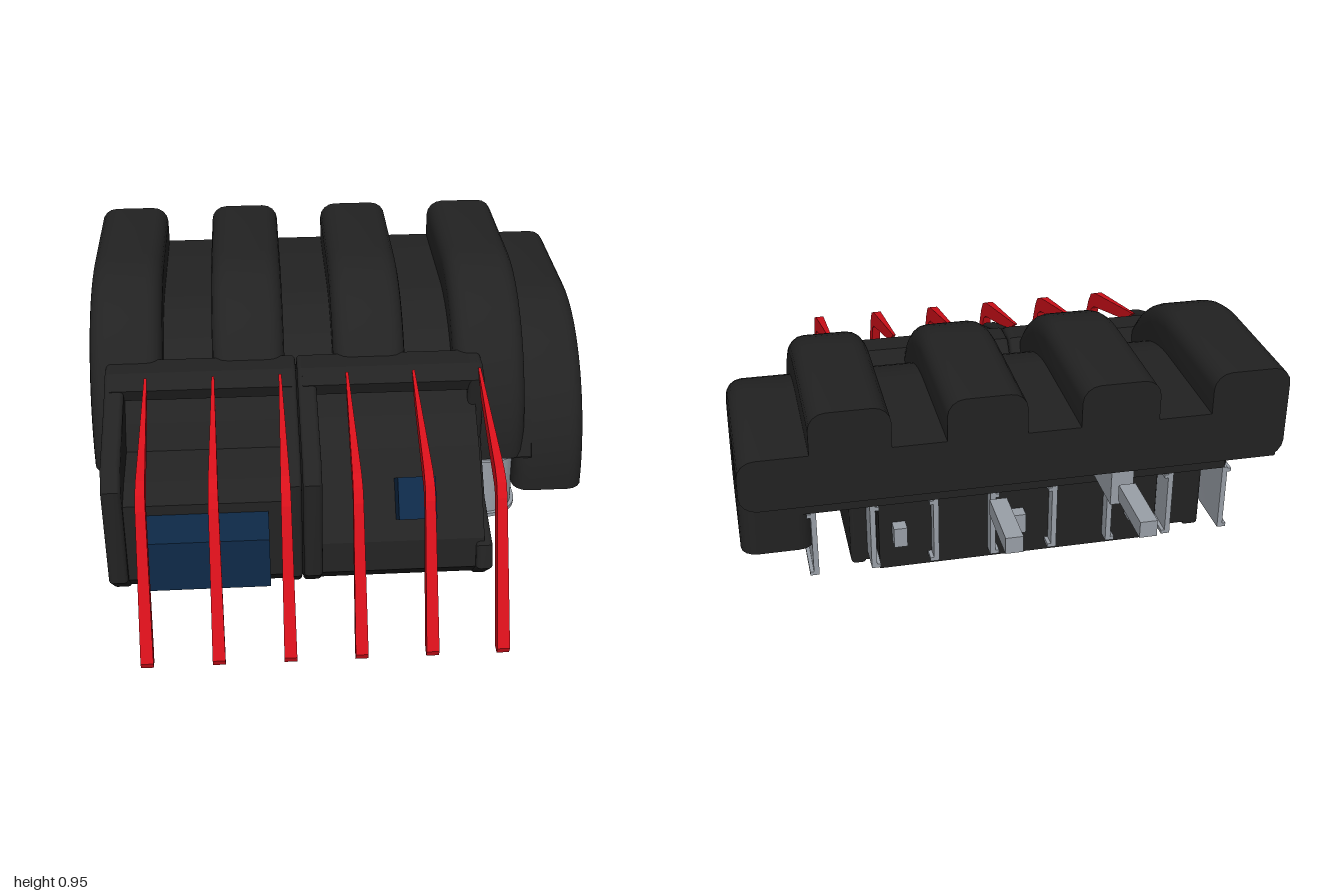
import * as THREE from 'three';
import { toCreasedNormals } from 'three/addons/utils/BufferGeometryUtils.js';

const mat = (color) => new THREE.MeshStandardMaterial({ color, side: THREE.DoubleSide });

export function createModel() {
  const model = new THREE.Group();
  const black = mat(0x222222), red = mat(0xd8101a), blue = mat(0x0e2a48), grey = mat(0x9aa0a8);

  function add(name, geometry, material, parent = model) {
    const mesh = new THREE.Mesh(geometry, material);
    mesh.name = name;
    parent.add(mesh);
    return mesh;
  }
  function box(name, x0, x1, y0, y1, z0, z1, material) {
    const m = add(name, new THREE.BoxGeometry(x1 - x0, y1 - y0, z1 - z0), material);
    m.position.set((x0 + x1) / 2, (y0 + y1) / 2, (z0 + z1) / 2);
    return m;
  }
  // Side profile given as [z, y] points, extruded from x0 to x1 with rounded shoulders
  function sideExtrude(points, x0, x1, bevel = 0) {
    const shape = new THREE.Shape(points.map(([z, y]) => new THREE.Vector2(z, y)));
    const g = new THREE.ExtrudeGeometry(shape, {
      depth: x1 - x0 - 2 * bevel, bevelEnabled: bevel > 0, bevelSize: bevel,
      bevelThickness: bevel, bevelOffset: -bevel, bevelSegments: 4,
    });
    g.rotateY(-Math.PI / 2);
    g.translate(x1 - bevel, 0, 0);
    return g;
  }

  // Curved cover: straight duct at the back, quarter arc down to the front
  function coverSection(name, x0, x1, top, bottom, bevel) {
    const pts = [[-1.0, top]];
    for (let i = 0; i <= 18; i++) {
      const a = (i / 18) * Math.PI / 2;
      pts.push([-0.33 + 0.58 * Math.sin(a), top - 0.61 + 0.61 * Math.cos(a)]);
    }
    pts.push([0.25, bottom - 0.15], [-0.38, bottom - 0.15], [-0.38, 0.62], [-1.0, 0.62]);
    const g = sideExtrude(pts, x0, x1, bevel);
    // cut the back and bottom ends flat
    const p = g.attributes.position;
    for (let i = 0; i < p.count; i++) {
      p.setZ(i, Math.max(p.getZ(i), -0.79));
      p.setY(i, Math.max(p.getY(i), bottom));
    }
    add(name, toCreasedNormals(g, 0.6), black);
  }
  coverSection('coverValleys', -0.91, 0.72, 0.81, 0.33, 0);
  coverSection('coverSideColumn', 0.66, 0.93, 0.81, 0.18, 0.06);
  const ridgeCentres = [-0.8, -0.345, 0.108, 0.56];
  ridgeCentres.forEach((x) => coverSection('coverRidge', x - 0.135, x + 0.135, 0.96, 0.33, 0.06));

  // Front housing: two open bays with side cheeks
  const cheek = [[-0.26, 0.01], [0.53, 0.01], [0.64, 0.11], [0.64, 0.5], [0.58, 0.57],
    [0.3, 0.67], [0.2, 0.725], [0.1, 0.725], [-0.1, 0.5], [-0.26, 0.4]];
  const cutCheek = [[-0.26, 0.01], [0.53, 0.01], [0.64, 0.11], [0.62, 0.2], [0.4, 0.27],
    [0.25, 0.43], [0.27, 0.69], [0.2, 0.725], [0.1, 0.725], [-0.1, 0.5], [-0.26, 0.4]];
  const bayLeft = [[-0.26, 0.02], [0.53, 0.02], [0.61, 0.1], [0.61, 0.42], [0.5, 0.45],
    [0.33, 0.47], [0.28, 0.56], [0.2, 0.66], [0, 0.6], [-0.26, 0.4]];
  const bayRight = [[-0.26, 0.02], [0.53, 0.02], [0.61, 0.1], [0.6, 0.22], [0.5, 0.36],
    [0.38, 0.48], [0.28, 0.56], [0.2, 0.66], [0, 0.6], [-0.26, 0.4]];
  const creased = (...args) => toCreasedNormals(sideExtrude(...args), 0.5);
  [[-0.87, -0.8], [-0.235, -0.172], [-0.168, -0.1]].forEach(([a, b]) =>
    add('housingCheek', creased(cheek, a, b, 0.015), black));
  add('housingCutCheek', creased(cutCheek, 0.46, 0.52, 0.015), black);
  add('bayFloorRight', sideExtrude(bayLeft, -0.82, -0.2), black);
  add('bayFloorLeft', sideExtrude(bayRight, -0.14, 0.49), black);
  const hood = [[0.05, 0.62], [0.25, 0.64], [0.27, 0.69], [0.2, 0.725], [0.1, 0.725]];
  [[-0.85, -0.19], [-0.15, 0.5]].forEach(([a, b]) =>
    add('housingHood', sideExtrude(hood, a, b), black));

  // Blue inserts in the bays
  box('wideInsert', -0.72, -0.29, 0.18, 0.38, 0.55, 0.78, blue);
  const tilted = box('tiltedInsert', 0.17, 0.305, 0.295, 0.445, 0.465, 0.63, blue);
  tilted.rotation.x = -0.6;

  // Red bent fingers, widening toward their lower tips
  const finger = [[0.23, 0.72], [0.72, 0.6], [0.77, 0.575], [0.8, 0.53], [1.0, 0.04],
    [0.99, 0.015], [0.955, 0.015], [0.935, 0.04], [0.755, 0.51], [0.72, 0.535], [0.33, 0.65]];
  for (let i = 0; i < 6; i++) {
    const g = sideExtrude(finger, -1, 1);
    const p = g.attributes.position;
    for (let k = 0; k < p.count; k++) {
      p.setX(k, p.getX(k) * (0.005 + 0.022 * (p.getZ(k) - 0.23)));
    }
    g.computeVertexNormals();
    add('finger', g, red).position.x = -0.72 + i * 0.2445;
  }

  // U-shaped metal clips under each ridge, rounded at the front
  function clip(half, thickness, y0, y1) {
    const s = new THREE.Shape();
    const inner = half - thickness;
    s.moveTo(half, -0.38);
    s.lineTo(half, 0.115);
    s.absarc(0, 0.115, half, 0, Math.PI, false);
    s.lineTo(-half, -0.38);
    s.lineTo(-inner, -0.38);
    s.lineTo(-inner, 0.115);
    s.absarc(0, 0.115, inner, Math.PI, 0, true);
    s.lineTo(inner, -0.38);
    const g = new THREE.ExtrudeGeometry(s, { depth: y1 - y0, bevelEnabled: false, curveSegments: 16 });
    g.rotateX(Math.PI / 2);
    g.translate(0, y1, 0);
    return toCreasedNormals(g, 0.5);
  }
  ridgeCentres.forEach((x) => {
    const group = new THREE.Group();
    group.name = 'terminalClip';
    group.position.x = x - 0.005;
    add('clipWall', clip(0.118, 0.02, 0.065, 0.33), grey, group);
    add('clipLowerRim', clip(0.132, 0.034, 0.06, 0.075), grey, group);
    add('clipUpperRim', clip(0.132, 0.034, 0.31, 0.325), grey, group);
    const stud = add('clipStud', new THREE.CylinderGeometry(0.045, 0.045, 0.2, 20), grey, group);
    stud.position.set(0, 0.2, 0.12);
    const ring = add('clipStudRing', new THREE.TorusGeometry(0.045, 0.012, 8, 20), grey, group);
    ring.rotation.x = Math.PI / 2;
    ring.position.set(0, 0.1, 0.12);
    model.add(group);
  });
  // Dark core filling the space between the clips
  box('coreBlock', -0.66, 0.42, 0.02, 0.4, -0.33, 0.2, black);
  ridgeCentres.slice(1).forEach((x) =>
    box('smallRearTab', x - 0.24, x - 0.19, 0.14, 0.22, -0.38, -0.3, grey));
  box('sideTab', 0.67, 0.79, 0.11, 0.145, -0.045, 0.055, grey);

  // Rear connector block and contact blades
  const block = [[-0.36, 0.46], [-0.38, 0.47], [-0.43, 0.44], [-0.71, 0.44], [-0.71, 0.605],
    [-0.43, 0.605], [-0.38, 0.58], [-0.36, 0.58]];
  add('rearBlock', sideExtrude(block, -0.43, -0.35), grey);
  [-0.39, 0.065].forEach((x) => box('rearBlade', x - 0.03, x + 0.03, 0.49, 0.55, -1, -0.76, grey));

  return model;
}
